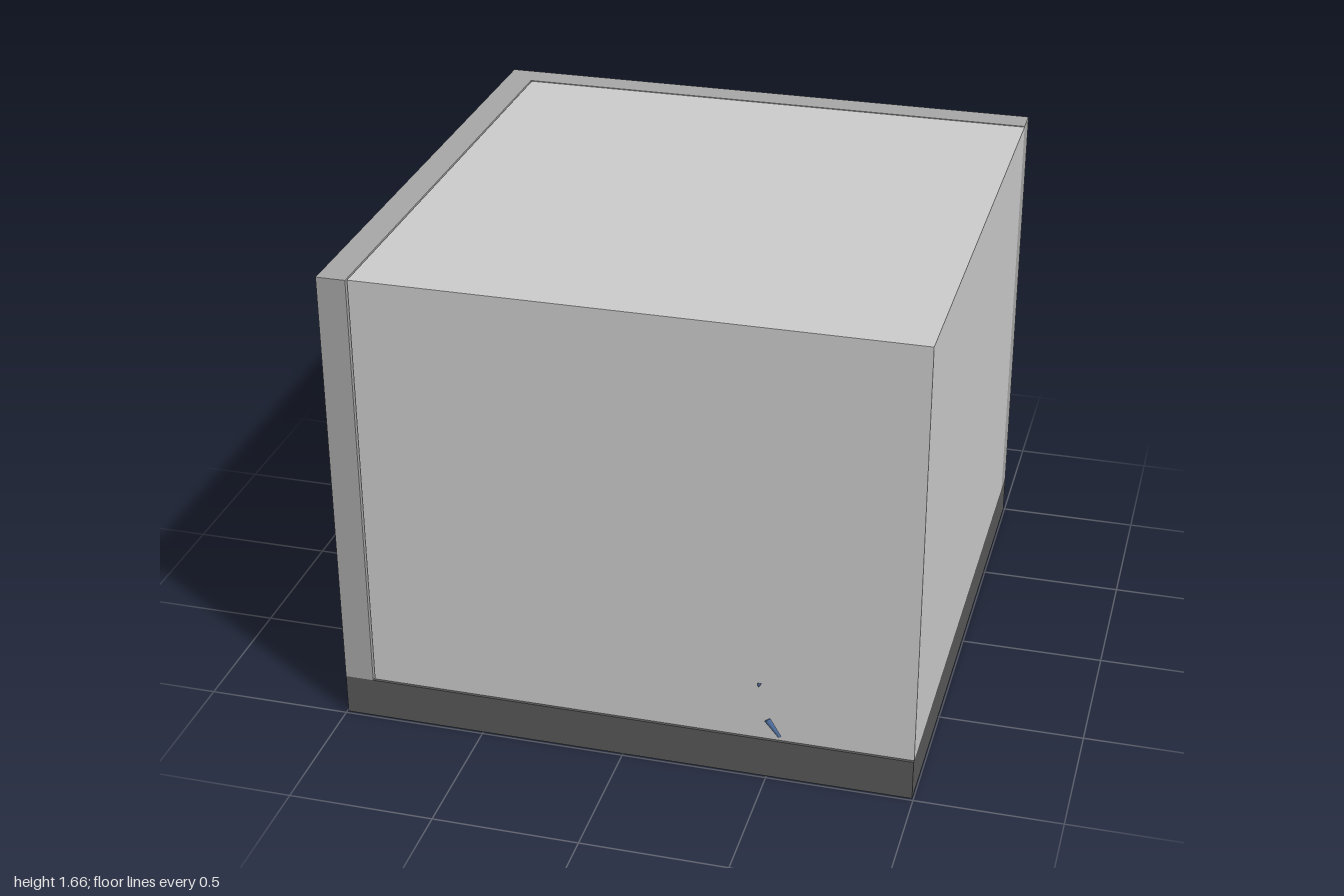
import * as THREE from 'three';

const mat = (color, side = THREE.FrontSide) =>
  new THREE.MeshStandardMaterial({ color, side });

const wallMat = mat(0xa7a7a7);
const floorMat = mat(0x585858);
const shellMat = mat(0xcccccc, THREE.DoubleSide);
const barMat = mat(0x333333);
const curtainMat = mat(0x5a4a86, THREE.DoubleSide);
const blueMat = mat(0x5577aa);
const sheetMat = mat(0xcfe8e0);

// Window opening in the side wall: z range and y range
const win = { z0: -0.21, z1: 0.43, y0: 0.65, y1: 1.5 };
const FLOOR = 0.145, TOP = 1.66, X = 0.995, FRONT = 0.99;

export function createModel() {
  const group = new THREE.Group();

  const add = (name, geometry, material, parent = group) => {
    const mesh = new THREE.Mesh(geometry, material);
    mesh.name = name;
    parent.add(mesh);
    return mesh;
  };
  // Box given by its two opposite corners
  const box = (name, a, b, material, parent) => {
    const m = add(name, new THREE.BoxGeometry(b[0] - a[0], b[1] - a[1], b[2] - a[2]), material, parent);
    m.position.set((a[0] + b[0]) / 2, (a[1] + b[1]) / 2, (a[2] + b[2]) / 2);
    return m;
  };

  // Floor slab and back wall
  box('floor', [-X, 0, -1], [X, FLOOR, FRONT], floorMat);
  box('backWall', [-X, FLOOR, -1], [X, TOP, -0.9], wallMat);

  // Side wall with the window opening
  const outline = new THREE.Shape([
    [-0.9, FLOOR], [FRONT, FLOOR], [FRONT, TOP], [-0.9, TOP],
  ].map(p => new THREE.Vector2(...p)));
  outline.holes.push(new THREE.Path([
    [win.z0, win.y0], [win.z0, win.y1], [win.z1, win.y1], [win.z1, win.y0],
  ].map(p => new THREE.Vector2(...p))));
  const side = new THREE.ExtrudeGeometry(outline, { depth: 0.1, bevelEnabled: false });
  side.rotateY(-Math.PI / 2);
  add('windowWall', side, wallMat).position.x = -0.895;

  // Thin ceiling, front and right panels closing the room
  const x0 = -0.892, z1 = 0.98, z0 = -0.9, yTop = 1.657;
  const ceiling = add('ceiling', new THREE.PlaneGeometry(X - x0, z1 - z0), shellMat);
  ceiling.rotation.x = -Math.PI / 2;
  ceiling.position.set((X + x0) / 2, yTop, (z0 + z1) / 2);
  const front = add('frontPanel', new THREE.PlaneGeometry(X - x0, yTop - FLOOR), shellMat);
  front.position.set((X + x0) / 2, (yTop + FLOOR) / 2, z1);
  const right = add('sidePanel', new THREE.PlaneGeometry(z1 - z0, yTop - FLOOR), shellMat);
  right.rotation.y = Math.PI / 2;
  right.position.set(X, (yTop + FLOOR) / 2, (z0 + z1) / 2);

  // Window bars, set in the middle of the wall
  const bars = new THREE.Group();
  bars.name = 'windowBars';
  group.add(bars);
  const midZ = (win.z0 + win.z1) / 2, midY = (win.y0 + win.y1) / 2;
  for (const y of [0.8, 1.02, 1.23]) {
    const bar = add('crossBar', new THREE.CylinderGeometry(0.019, 0.019, win.z1 - win.z0, 12), barMat, bars);
    bar.rotation.x = Math.PI / 2;
    bar.position.set(-0.945, y, midZ);
  }
  add('uprightBar', new THREE.CylinderGeometry(0.019, 0.019, win.y1 - win.y0, 12), barMat, bars)
    .position.set(-0.945, midY, 0.05);

  // Pleated curtains either side of the window, hanging from a rod
  for (const s of [-1, 1]) {
    const cloth = new THREE.PlaneGeometry(0.34, 1.05, 32, 1);
    const p = cloth.attributes.position;
    for (let i = 0; i < p.count; i++) p.setZ(i, 0.018 * Math.sin(p.getX(i) * 110));
    cloth.computeVertexNormals();
    const curtain = add('curtain', cloth, curtainMat);
    curtain.rotation.y = Math.PI / 2;
    curtain.position.set(-0.86, 1.06, midZ + s * 0.29);
  }
  const rod = add('curtainRod', new THREE.CylinderGeometry(0.012, 0.012, 1, 12), barMat);
  rod.rotation.x = Math.PI / 2;
  rod.position.set(-0.86, 1.585, midZ);

  // Bed along the front, with a pale mattress and a blue blanket
  const bed = new THREE.Group();
  bed.name = 'bed';
  group.add(bed);
  box('bedFrame', [-0.86, 0.2, 0.4], [0.56, 0.28, 0.96], barMat, bed);
  for (const x of [-0.83, 0.53])
    for (const z of [0.43, 0.93])
      box('bedLeg', [x - 0.03, FLOOR, z - 0.03], [x + 0.03, 0.2, z + 0.03], barMat, bed);
  box('mattress', [-0.85, 0.28, 0.41], [0.55, 0.35, 0.95], sheetMat, bed);
  box('blanket', [-0.6, 0.345, 0.57], [0.5, 0.42, 0.97], blueMat, bed);

  // Blanket folds that just show through the front panel
  const fold = add('blanketFold', new THREE.CylinderGeometry(0.012, 0.006, 0.075, 6), blueMat, bed);
  fold.position.set(0.52, 0.19, 0.978);
  fold.rotation.z = 0.6;
  const tip = add('blanketTip', new THREE.ConeGeometry(0.025, 0.06, 3), blueMat, bed);
  tip.position.set(0.47, 0.355, 0.97);
  tip.rotation.x = Math.PI / 2;
  return group;
}
